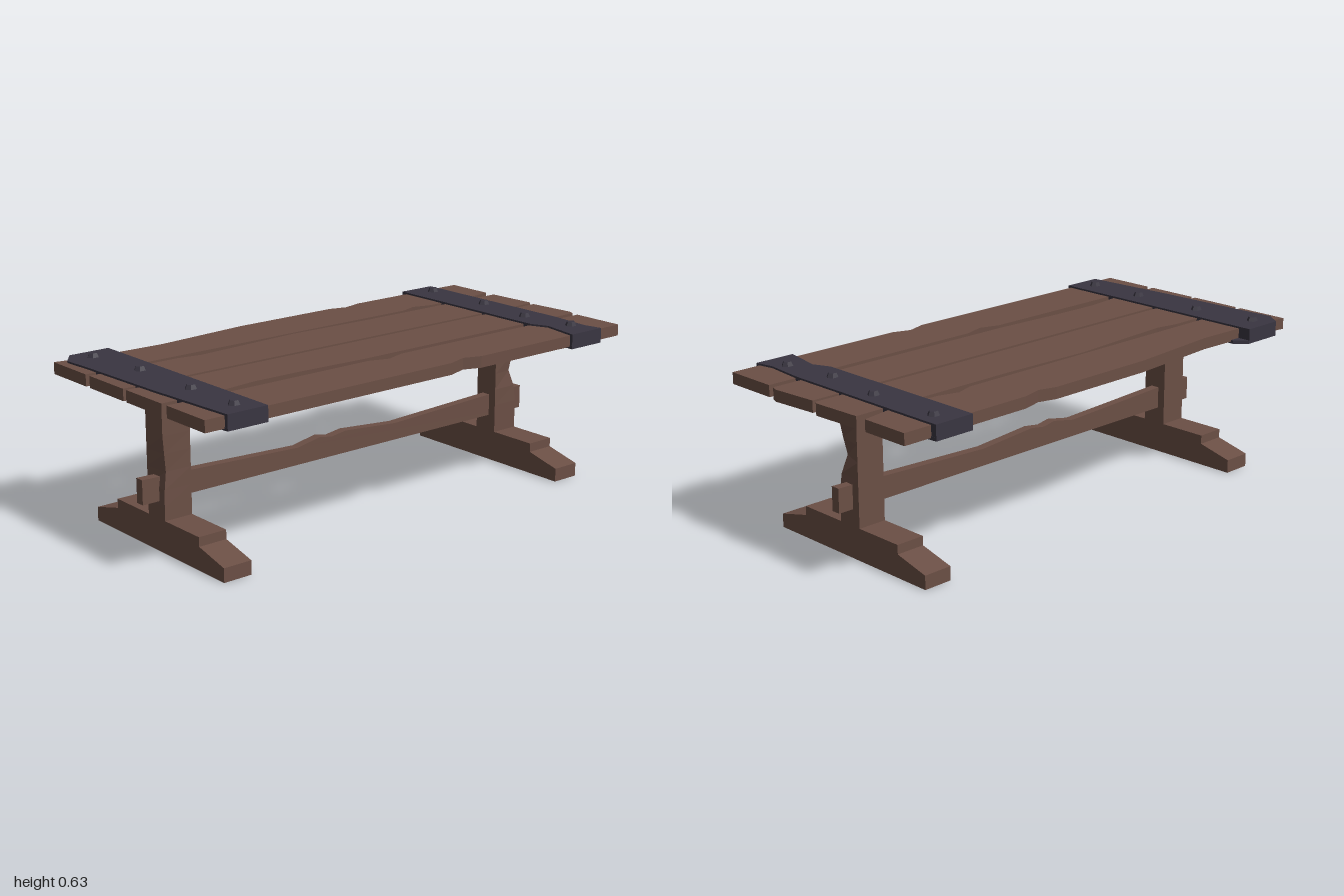
import * as THREE from 'three';

const wood = new THREE.MeshStandardMaterial({ color: 0x6b4f45, flatShading: true });
const iron = new THREE.MeshStandardMaterial({ color: 0x393541, flatShading: true });

function add(parent, name, geometry, material) {
  const mesh = new THREE.Mesh(geometry, material);
  mesh.name = name;
  parent.add(mesh);
  return mesh;
}

function extrude(points, depth) {
  const shape = new THREE.Shape(points.map(([a, b]) => new THREE.Vector2(a, b)));
  return new THREE.ExtrudeGeometry(shape, { depth, bevelEnabled: false });
}

// Flat slab: an outline of [x, z] points between two heights
function slab(outline, y0, y1) {
  return extrude(outline.map(([x, z]) => [x, -z]), y1 - y0).rotateX(-Math.PI / 2).translate(0, y0, 0);
}

// Post with one worn vertical corner (+x, outer side)
function postGeometry(outer, chips) {
  const g = new THREE.BoxGeometry(0.102, 0.46, 0.115, 1, chips.length - 1, 1);
  const p = g.attributes.position;
  for (let i = 0; i < p.count; i++) {
    if (p.getX(i) < 0 || p.getZ(i) * outer < 0) continue;
    const c = chips[Math.round((p.getY(i) / 0.46 + 0.5) * (chips.length - 1))];
    p.setX(i, p.getX(i) - c * 0.3);
    p.setZ(i, p.getZ(i) - outer * c);
  }
  return g;
}

export function createModel() {
  const table = new THREE.Group();
  table.name = 'trestleTable';

  // Tabletop planks with chipped edges
  const top = new THREE.Group();
  top.name = 'tabletop';
  table.add(top);
  const planks = [
    [[-0.46, -0.985], [-0.265, -0.985], [-0.245, -0.87], [-0.245, -0.65], [-0.268, -0.57], [-0.245, -0.5],
      [-0.245, 0.995], [-0.46, 0.995], [-0.435, 0.85], [-0.425, 0.55], [-0.46, 0.16], [-0.46, -0.29],
      [-0.44, -0.36], [-0.46, -0.44]],
    [[-0.22, -0.985], [-0.02, -0.995], [-0.006, -0.985], [-0.006, 0.995], [-0.22, 0.995], [-0.22, 0.63],
      [-0.203, 0.53], [-0.233, 0.08], [-0.22, -0.3]],
    [[0.012, -0.985], [0.2, -1], [0.225, -0.99], [0.225, 0.1], [0.21, 0.4], [0.207, 0.6], [0.225, 0.75],
      [0.225, 0.995], [0.012, 0.995]],
    [[0.255, -0.985], [0.47, -0.985], [0.47, -0.24], [0.445, -0.17], [0.47, -0.09], [0.47, 0.995],
      [0.255, 0.995], [0.255, 0.12], [0.28, 0.04], [0.255, -0.04]],
  ];
  planks.forEach((outline, i) => add(top, `plank${i + 1}`, slab(outline, 0.568, 0.612), wood));

  // Iron straps, each with a slightly wider under plate
  add(top, 'frontStrap', slab([[-0.484, 0.75], [0.484, 0.75], [0.484, 0.915], [0.1, 0.94], [-0.3, 0.955],
    [-0.42, 0.963], [-0.484, 0.915]], 0.561, 0.619), iron);
  add(top, 'frontUnderPlate', slab([[-0.484, 0.75], [-0.44, 0.705], [0.22, 0.72], [0.484, 0.75],
    [0.484, 0.915], [0.2, 0.95], [-0.42, 0.963], [-0.484, 0.915]], 0.561, 0.574), iron);
  add(top, 'backStrap', slab([[-0.484, -0.87], [0.25, -0.87], [0.41, -0.855], [0.484, -0.87], [0.484, -0.708],
    [0.33, -0.737], [0.26, -0.708], [-0.484, -0.708]], 0.561, 0.619), iron);
  add(top, 'backUnderPlate', slab([[-0.484, -0.87], [0, -0.91], [0.484, -0.87], [0.484, -0.708],
    [-0.484, -0.708]], 0.561, 0.574), iron);

  // Faceted bolt heads
  const bolts = [[-0.41, 0.86], [-0.15, 0.83], [0.16, 0.83], [0.405, 0.83],
    [-0.405, -0.81], [-0.1, -0.81], [0.16, -0.78], [0.38, -0.81]];
  for (const [x, z] of bolts) {
    const bolt = add(top, 'bolt', new THREE.CylinderGeometry(0.016, 0.024, 0.018, 6), iron);
    bolt.scale.set(0.9, 1, 1.05);
    bolt.position.set(x, 0.626, z);
  }

  // Trestles: stepped foot, post and crossbeam at each end
  const foot = [[-0.39, 0], [0.4, 0], [0.4, 0.053], [0.258, 0.088], [0.258, 0.123],
    [-0.25, 0.123], [-0.25, 0.088], [-0.39, 0.053]];
  const beam = [[-0.39, 0.54], [0.398, 0.54], [0.406, 0.565], [-0.4, 0.565]];
  const ends = [
    ['front', 0.825, 1, [0, 0, 0.003, 0.012, 0.006, 0, 0, 0]],
    ['back', -0.79, -1, [0, 0, 0, 0.008, 0.032, 0.018, 0.006, 0]],
  ];
  for (const [label, z, outer, chips] of ends) {
    const trestle = new THREE.Group();
    trestle.name = `${label}Trestle`;
    trestle.position.z = z;
    table.add(trestle);
    add(trestle, 'foot', extrude(foot, 0.115).translate(0, 0, -0.0575), wood);
    add(trestle, 'crossbeam', extrude(beam, 0.115).translate(0, 0, -0.0575), wood);
    add(trestle, 'post', postGeometry(outer, chips), wood).position.set(0.004, 0.335, 0);
  }

  // Long rail under the planks
  add(table, 'topRail', new THREE.BoxGeometry(0.1, 0.03, 1.51), wood).position.set(0.004, 0.555, 0.018);

  // Worn stretcher, running through both posts
  const stretcher = [[-0.91, 0.188], [0.95, 0.188], [0.95, 0.28], [0.77, 0.275], [0.26, 0.255], [0.155, 0.275],
    [0.1, 0.265], [0.03, 0.275], [-0.22, 0.255], [-0.73, 0.275], [-0.91, 0.281]];
  add(table, 'stretcher', extrude(stretcher, 0.036).rotateY(-Math.PI / 2).translate(0.021, 0, 0), wood);

  return table;
}
